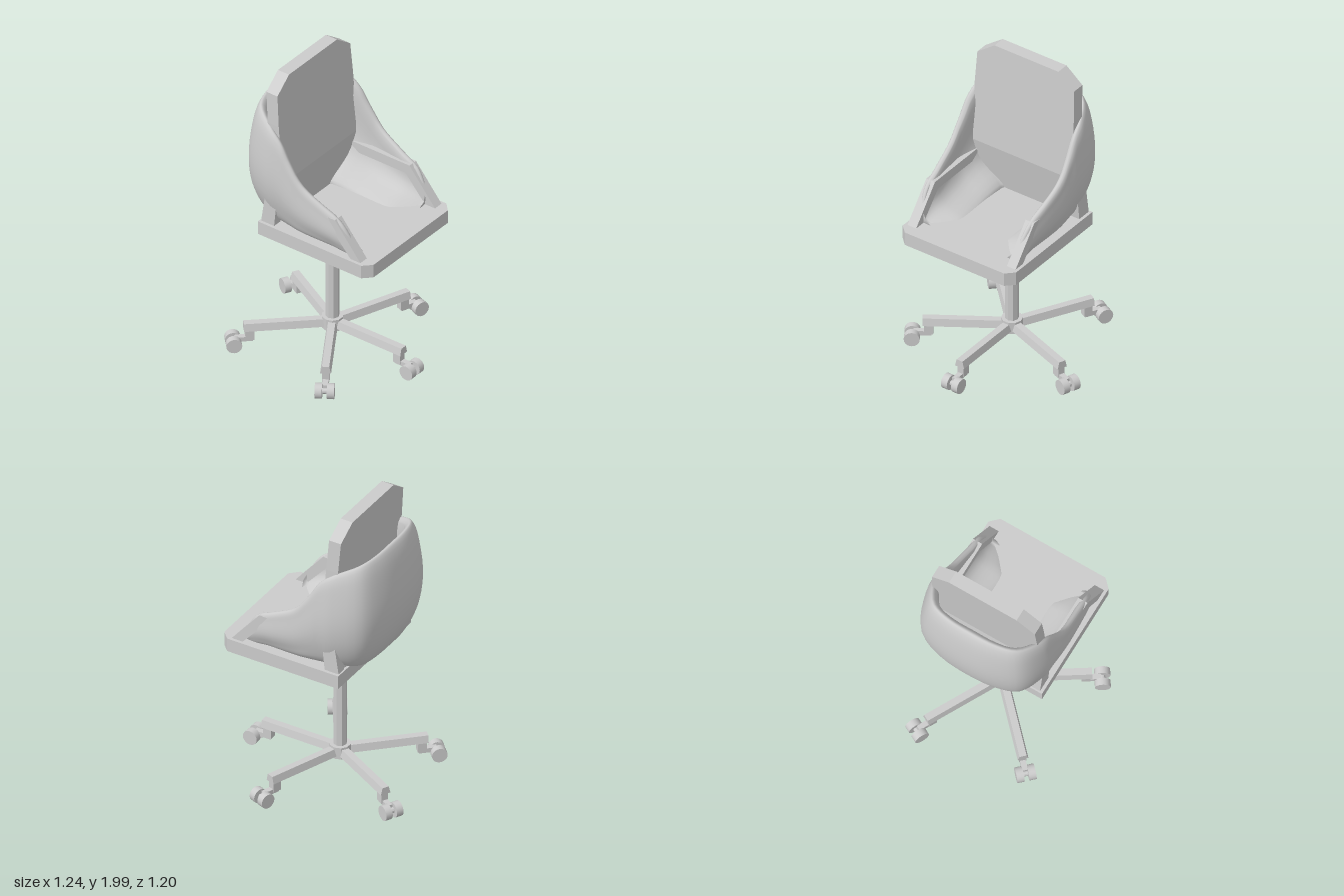
import * as THREE from 'three';

const flat = new THREE.MeshStandardMaterial({ color: 0xcccccc, flatShading: true });
const smooth = new THREE.MeshStandardMaterial({ color: 0xcccccc, side: THREE.DoubleSide });

function add(parent, name, geometry, material = flat) {
  const mesh = new THREE.Mesh(geometry, material);
  mesh.name = name;
  parent.add(mesh);
  return mesh;
}

function extrude(points, depth) {
  const shape = new THREE.Shape(points.map(([x, y]) => new THREE.Vector2(x, y)));
  return new THREE.ExtrudeGeometry(shape, { depth, bevelEnabled: false });
}

// Outline in (z, y), thickened towards -x
const extrudeX = (points, depth) => extrude(points, depth).rotateY(-Math.PI / 2);

// Slides vertices along x according to their height
function shear(geometry, y0, slope) {
  const p = geometry.attributes.position;
  for (let i = 0; i < p.count; i++) p.setX(i, p.getX(i) + (p.getY(i) - y0) * slope);
  geometry.computeVertexNormals();
  return geometry;
}

// Padded wrap: a closed section swept from one front tip around the back to the other
function wrapGeometry() {
  // x, rim height, half width
  const half = [
    [0.41, 1.09, 0.37], [0.33, 1.21, 0.395], [0.2, 1.28, 0.41], [0.05, 1.37, 0.422],
    [-0.05, 1.5, 0.428], [-0.12, 1.61, 0.43], [-0.22, 1.68, 0.425], [-0.385, 1.745, 0.35],
    [-0.45, 1.765, 0.2],
  ];
  const path = new THREE.CatmullRomCurve3([
    ...half.map(([x, y, z]) => new THREE.Vector3(x, y, -z)),
    new THREE.Vector3(-0.47, 1.77, 0),
    ...half.slice().reverse().map(([x, y, z]) => new THREE.Vector3(x, y, z)),
  ]);
  // Inward offset, height fraction: up the outside, over the rim, down the inside
  const loop = (pts) => new THREE.CatmullRomCurve3(pts.map(([d, f]) => new THREE.Vector3(d, f, 0)), true);
  const back = loop([[0.2, 0], [0.12, 0.045], [0.035, 0.23], [0, 0.49], [0.02, 0.79], [0.055, 0.96],
    [0.08, 1], [0.115, 0.95], [0.11, 0.5], [0.15, 0.23], [0.28, 0.06], [0.27, 0.01]]);
  const side = loop([[0.16, 0], [0.06, 0.1], [0.022, 0.28], [0, 0.5], [0.005, 0.8], [0.015, 0.97],
    [0.03, 1], [0.05, 0.96], [0.06, 0.5], [0.11, 0.28], [0.24, 0.1], [0.25, 0.02]]);

  const U = 72, V = 48, base = 0.967, pos = [], index = [];
  for (let u = 0; u <= U; u++) {
    const p = path.getPoint(u / U);
    const inward = new THREE.Vector3(Math.max(p.x, -0.12) - p.x, 0, -p.z).normalize();
    const backness = THREE.MathUtils.clamp(-p.x / 0.4, 0, 1);
    const taper = Math.min(1, 0.45 + (0.55 * (0.41 - p.x)) / 0.15);
    for (let v = 0; v < V; v++) {
      const s = side.getPoint(v / V).lerp(back.getPoint(v / V), backness);
      pos.push(p.x + inward.x * s.x * taper, base + s.y * (p.y - base), p.z + inward.z * s.x * taper);
    }
  }
  for (let u = 0; u < U; u++) {
    for (let v = 0; v < V; v++) {
      const w = (v + 1) % V;
      const a = u * V + v, b = a + V, c = (u + 1) * V + w, d = u * V + w;
      index.push(a, b, c, a, c, d);
    }
  }
  // Rounded front tips
  for (const [row, sign] of [[0, -1], [U, 1]]) {
    const centre = pos.length / 3;
    pos.push(0.425, 1.03, sign * 0.31);
    for (let v = 0; v < V; v++) {
      const a = row * V + v, d = row * V + ((v + 1) % V);
      index.push(centre, ...(row === 0 ? [a, d] : [d, a]));
    }
  }
  const g = new THREE.BufferGeometry();
  g.setAttribute('position', new THREE.Float32BufferAttribute(pos, 3));
  g.setIndex(index);
  g.computeVertexNormals();
  return g;
}

// One spoke of the base with its twin-wheel caster, pointing along +x
function makeLeg() {
  const leg = new THREE.Group();
  leg.name = 'baseLeg';
  const section = [[-0.033, 0.138], [0.033, 0.138], [0.022, 0.186], [-0.022, 0.186]];
  add(leg, 'spoke', extrudeX(section, 0.53).translate(0.535, 0, 0));
  add(leg, 'casterStem', new THREE.BoxGeometry(0.055, 0.07, 0.045)).position.set(0.498, 0.105, 0);
  add(leg, 'casterArm', new THREE.BoxGeometry(0.11, 0.03, 0.035)).position.set(0.535, 0.075, 0);
  add(leg, 'axle', new THREE.CylinderGeometry(0.018, 0.018, 0.06, 10).rotateX(Math.PI / 2)).position.set(0.597, 0.055, 0);
  for (const s of [-1, 1]) {
    const wheel = new THREE.CylinderGeometry(0.048, 0.048, 0.044, 20).rotateX(Math.PI / 2);
    add(leg, 'wheel', wheel, smoothRim).position.set(0.597, 0.055, s * 0.037);
  }
  return leg;
}
const smoothRim = new THREE.MeshStandardMaterial({ color: 0xcccccc });

export function createModel() {
  const model = new THREE.Group();
  model.name = 'swivelChair';
  const chair = new THREE.Group();
  chair.name = 'chair';
  chair.position.z = 0.032;
  model.add(chair);

  // Seat slab with clipped front corners
  const seat = [[-0.265, -0.418], [0.513, -0.418], [0.565, -0.365], [0.565, 0.365], [0.513, 0.418], [-0.265, 0.418]];
  add(chair, 'seat', extrude(seat, 0.09).rotateX(Math.PI / 2)).position.y = 1.0;

  // Backrest: upper panel leans back, lower panel tucks under
  const upper = [[-0.365, 1.3], [0.365, 1.3], [0.365, 1.7], [0.357, 1.91], [0.235, 2], [-0.235, 2], [-0.357, 1.91], [-0.365, 1.7]];
  add(chair, 'backrestUpper', shear(extrudeX(upper, 0.083), 1.3, -0.075)).position.x = -0.118;
  const lower = [[-0.3, 0.98], [0.3, 0.98], [0.365, 1.06], [0.365, 1.3], [-0.365, 1.3], [-0.365, 1.06]];
  add(chair, 'backrestLower', shear(extrudeX(lower, 0.083), 1.3, 0.16)).position.x = -0.118;

  // Arm frames
  const arm = [[-0.258, 0.98], [-0.22, 1.23], [0.3, 1.23], [0.5, 0.99], [0.425, 0.99],
    [0.27, 1.165], [-0.14, 1.165], [-0.16, 0.98]].reverse();
  for (const s of [-1, 1]) {
    add(chair, 'armFrame', extrude(arm, 0.064)).position.z = s * 0.366 - 0.032;
  }

  add(chair, 'wrapAroundShell', wrapGeometry(), smooth);

  // Column and star base
  const base = new THREE.Group();
  base.name = 'base';
  base.position.x = -0.023;
  chair.add(base);
  add(base, 'upperColumn', new THREE.CylinderGeometry(0.036, 0.036, 0.2, 8)).position.y = 0.83;
  add(base, 'lowerColumn', new THREE.CylinderGeometry(0.042, 0.042, 0.62, 8)).position.y = 0.475;
  add(base, 'hub', new THREE.CylinderGeometry(0.066, 0.066, 0.08, 10)).position.y = 0.16;
  for (const degrees of [0, 57, 136, 208, 290]) {
    const leg = makeLeg();
    leg.rotation.y = -THREE.MathUtils.degToRad(degrees);
    base.add(leg);
  }
  return model;
}
